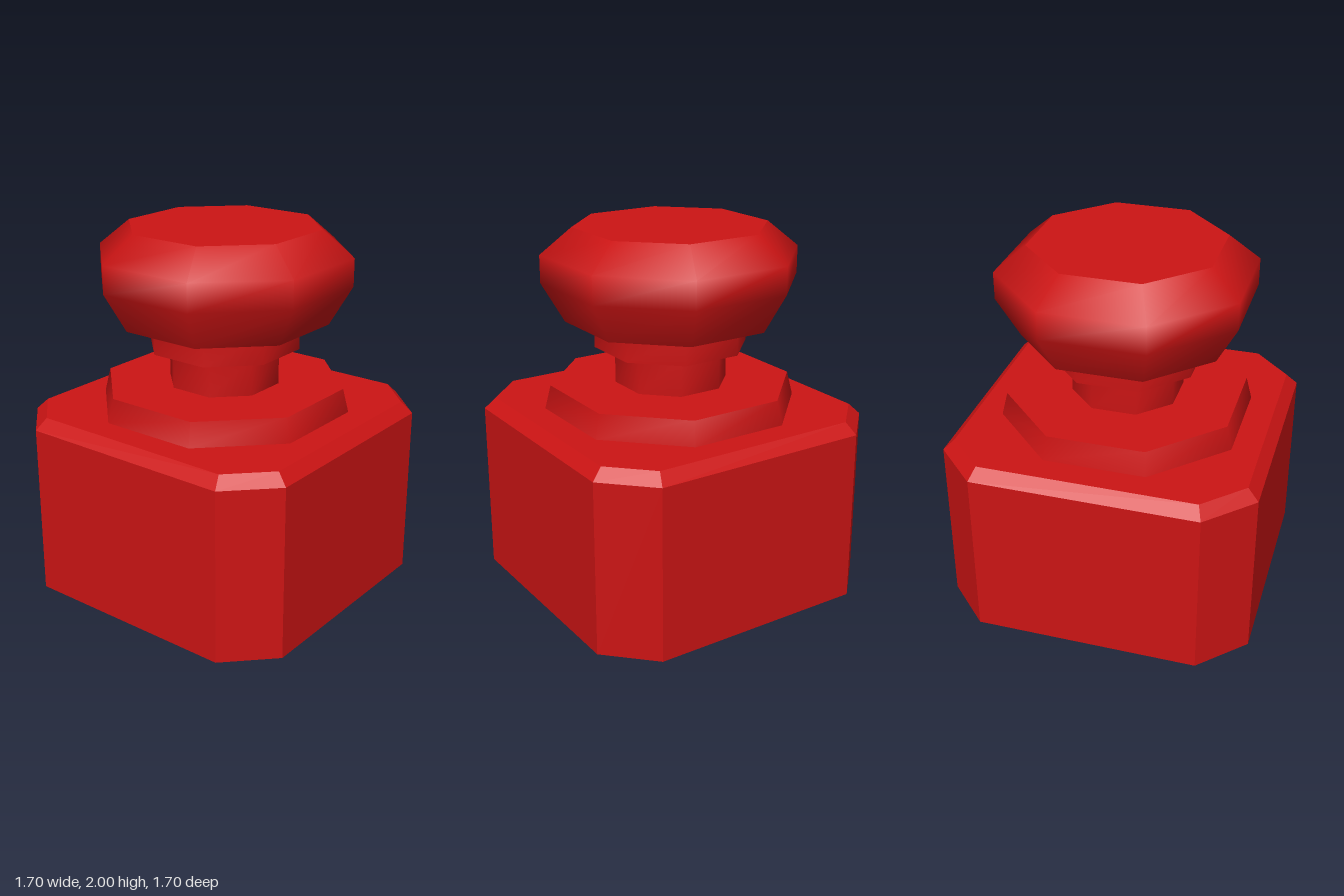
import * as THREE from 'three';

// Corners of a square with cut corners, counter-clockwise from above
function octagon([y, h, c]) {
  return [[-c, h], [c, h], [h, c], [h, -c], [c, -h], [-c, -h], [-h, -c], [-h, c]]
    .flatMap(([x, z]) => [x, y, z]);
}

// Stacks octagonal sections [height, half width, corner position] and caps both ends
function loft(sections, smooth) {
  const pos = sections.flatMap(octagon);
  const index = [];
  for (let r = 0; r < sections.length - 1; r++) {
    for (let i = 0; i < 8; i++) {
      const a = r * 8 + i, b = r * 8 + (i + 1) % 8;
      index.push(a, b, b + 8, a, b + 8, a + 8);
    }
  }
  // Caps have their own vertices so their rims stay sharp
  const bottom = sections.length * 8, top = bottom + 8;
  pos.push(...octagon(sections[0]), ...octagon(sections[sections.length - 1]));
  for (let i = 1; i < 7; i++) {
    index.push(bottom, bottom + i + 1, bottom + i, top, top + i, top + i + 1);
  }
  let geo = new THREE.BufferGeometry();
  geo.setAttribute('position', new THREE.Float32BufferAttribute(pos, 3));
  geo.setIndex(index);
  if (!smooth) geo = geo.toNonIndexed();
  geo.computeVertexNormals();
  return geo;
}

export function createModel() {
  const group = new THREE.Group();
  const red = new THREE.MeshStandardMaterial({ color: 0xcc1414 });

  function add(name, sections, smooth = true) {
    const mesh = new THREE.Mesh(loft(sections, smooth), red);
    mesh.name = name;
    group.add(mesh);
  }
  // Near-regular octagon section
  const ring = (y, h) => [y, h, h * 0.43];

  // Square body with cut corners and a bevelled top edge
  add('body', [[0, 0.85, 0.61], [0.95, 0.85, 0.61], [1.01, 0.79, 0.585]], false);
  // Tapered step on top of the body
  add('shoulder', [ring(1.01, 0.64), ring(1.14, 0.61)]);
  // Narrow neck and the wider collar under the stopper
  add('neck', [ring(1.14, 0.283), ring(1.345, 0.283)]);
  add('collar', [ring(1.345, 0.385), ring(1.495, 0.385)]);
  // Faceted stopper
  add('stopper', [ring(1.495, 0.527), ring(1.71, 0.64), ring(1.86, 0.64), ring(2, 0.483)]);

  return group;
}
